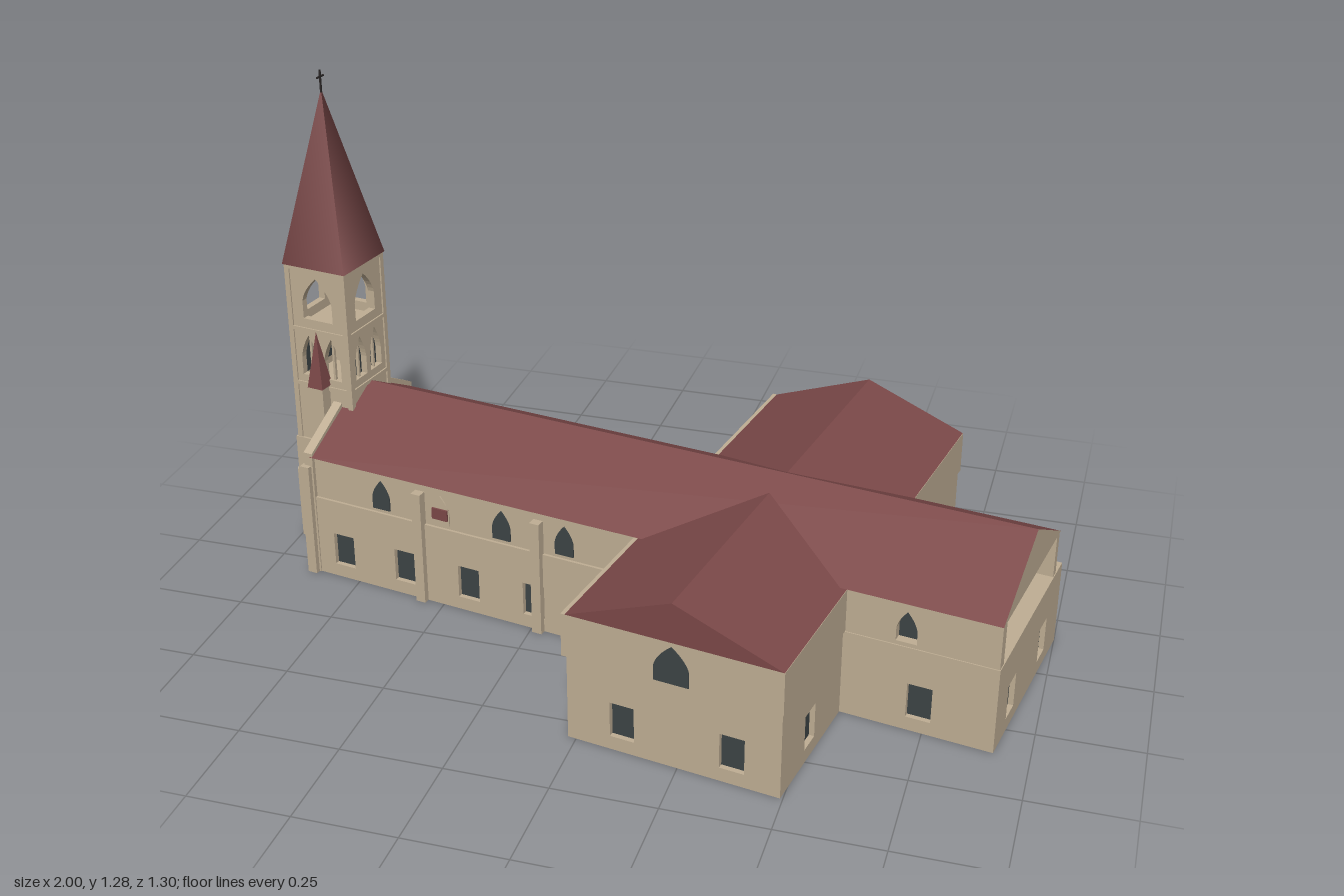
import * as THREE from 'three';

const mat = (name, color) => {
  const m = new THREE.MeshStandardMaterial({ color });
  m.name = name;
  return m;
};

export function createModel() {
  const stone = mat('stone', 0xbfae94);
  const roof = mat('roof tile', 0x7b4848);
  const glass = mat('dark glass', 0x3d4445);
  const iron = mat('iron', 0x2a2626);

  const model = new THREE.Group();
  model.name = 'church';
  const body = new THREE.Group();
  body.name = 'churchBody';
  body.rotation.y = -THREE.MathUtils.degToRad(9.4);
  body.position.z = 0.006;
  model.add(body);

  const add = (name, geo, material, parent = body) => {
    const m = new THREE.Mesh(geo, material);
    m.name = name;
    parent.add(m);
    return m;
  };
  // Box given by its limits on each axis
  const box = (name, x0, x1, y0, y1, z0, z1, material = stone, parent = body) => {
    const m = add(name, new THREE.BoxGeometry(x1 - x0, y1 - y0, z1 - z0), material, parent);
    m.position.set((x0 + x1) / 2, (y0 + y1) / 2, (z0 + z1) / 2);
    return m;
  };
  const polygon = pts => new THREE.Shape(pts.map(p => new THREE.Vector2(...p)));
  const extrude = (shape, depth) => new THREE.ExtrudeGeometry(shape, { depth, bevelEnabled: false, curveSegments: 6 });
  // Pointed arch outline
  const arch = (path, cx, y, w, h) => {
    const s = y + h * 0.42, r = w / 2;
    path.moveTo(cx - r, y);
    path.lineTo(cx + r, y);
    path.lineTo(cx + r, s);
    path.quadraticCurveTo(cx + r * 0.85, s + h * 0.28, cx, y + h);
    path.quadraticCurveTo(cx - r * 0.85, s + h * 0.28, cx - r, s);
    return path;
  };
  const S = 0, E = Math.PI / 2, N = Math.PI, W = -Math.PI / 2;
  const place = (m, x, y, z, dir) => { m.position.set(x, y, z); m.rotation.y = dir; return m; };
  const archWindow = (x, y, z, dir, w = 0.05, h = 0.08, material = glass) =>
    place(add('archWindow', extrude(arch(new THREE.Shape(), 0, 0, w, h), 0.005), material), x, y, z, dir);

  // Wall with recessed windows: outer face at offset, running from a to b
  const wall = (name, dir, offset, a, b, y0, y1, centres, t = 0.018, arched = false) => {
    const g = new THREE.Group();
    g.name = name;
    const alongX = dir === S || dir === N;
    place(g, alongX ? 0 : offset, 0, alongX ? offset : 0, dir);
    body.add(g);
    const sign = dir === S || dir === W ? 1 : -1;
    const shape = polygon([[sign * a, y0], [sign * b, y0], [sign * b, y1], [sign * a, y1]]);
    for (const c of centres) {
      const x = sign * c;
      const pane = arched ? arch(new THREE.Shape(), x, 0.23, 0.05, 0.08)
        : polygon([[x - 0.03, 0.035], [x + 0.03, 0.035], [x + 0.03, 0.125], [x - 0.03, 0.125]]);
      shape.holes.push(new THREE.Path(pane.getPoints(6)));
      add('windowGlass', extrude(pane, 0.004), glass, g).position.z = 0.001 - t;
    }
    add('wallStone', extrude(shape, t), stone, g).position.z = -t;
  };

  // Ground storey: hollow, open below
  const naveX = [-0.77, -0.587, -0.4, -0.215, -0.03], transX = [0.207, 0.475];
  wall('naveSouthWall', S, 0.187, -0.86, 0.08, 0, 0.22, naveX);
  wall('naveNorthWall', N, -0.28, -0.86, 0.08, 0, 0.22, naveX);
  wall('choirSouthBase', S, 0.187, 0.58, 0.96, 0, 0.22, [0.78]);
  wall('choirNorthBase', N, -0.327, 0.58, 0.96, 0, 0.22, [0.72, 0.87]);
  wall('choirEastBase', E, 0.96, -0.327, 0.187, 0, 0.22, [0.067, -0.19]);
  wall('transeptSouthBase', S, 0.547, 0.07, 0.591, 0, 0.22, transX);
  wall('transeptNorthBase', N, -0.664, 0.07, 0.591, 0, 0.22, transX);
  wall('southTranseptEast', E, 0.591, 0.17, 0.547, 0, 0.22, [0.378]);
  wall('southTranseptWest', W, 0.07, 0.17, 0.547, 0, 0.22, [0.378]);
  wall('northTranseptEast', E, 0.591, -0.664, -0.31, 0, 0.22, [-0.49]);
  wall('northTranseptWest', W, 0.07, -0.664, -0.263, 0, 0.22, [-0.49]);

  // Slab above the ground storey
  box('naveSlab', -0.86, 0.1, 0.208, 0.219, -0.278, 0.185);
  box('transeptSlab', 0.072, 0.589, 0.208, 0.219, -0.662, 0.545);
  box('choirSlab', 0.55, 0.958, 0.208, 0.219, -0.325, 0.185);

  // Upper storey
  box('naveUpperWall', -0.86, 0.59, 0.218, 0.336, -0.258, 0.18);
  box('transeptUpperWall', 0.06, 0.595, 0.22, 0.33, -0.672, 0.553);
  wall('choirSouthWall', S, 0.184, 0.59, 0.958, 0.22, 0.336, [0.74], 0.028, true);
  wall('choirNorthWall', N, -0.274, 0.59, 0.958, 0.22, 0.336, [0.78], 0.022, true);
  box('choirCeiling', 0.59, 0.957, 0.329, 0.34, -0.25, 0.154, roof);

  // Lean-to strip under the north clerestory
  const leanTo = add('northLeanToRoof', extrude(polygon([[0.255, 0.22], [0.283, 0.22], [0.255, 0.245]]), 0.92), roof);
  place(leanTo, -0.855, 0, 0, E);

  // Gabled roofs: caps first, slopes second
  const naveRoof = add('naveRoof',
    extrude(polygon([[-0.192, 0.335], [0.276, 0.335], [0.044, 0.46]]), 1.815), [stone, roof]);
  place(naveRoof, -0.855, 0, 0, E);
  add('transeptRoof',
    extrude(polygon([[0.07, 0.33], [0.594, 0.33], [0.331, 0.43]]), 1.224), roof).position.z = -0.671;

  // West front with gable parapet
  const front = add('westFront',
    extrude(polygon([[-0.19, 0], [0.283, 0], [0.283, 0.345], [0.046, 0.475], [-0.19, 0.345]]), 0.025), stone);
  place(front, -0.872, 0, 0, E);
  for (const z of [0.12, -0.21]) archWindow(-0.87, 0.23, z, W, 0.05, 0.09);

  // Buttresses on both sides of the nave
  for (const x of [-0.865, -0.535, -0.2]) {
    box('southButtress', x - 0.013, x + 0.013, 0, 0.31, 0.17, 0.203);
    box('northButtress', x - 0.013, x + 0.013, 0, 0.31, -0.296, -0.25);
  }

  // Clerestory and transept gable windows
  for (const x of [-0.65, -0.476, -0.303, -0.129]) {
    archWindow(x, 0.23, 0.179, S, 0.05, 0.08, x === -0.476 ? stone : glass);
    archWindow(x, 0.245, -0.257, N, 0.05, 0.075);
  }
  box('redWindowPanel', -0.498, -0.454, 0.245, 0.275, 0.18, 0.189, roof);
  archWindow(0.331, 0.225, 0.55, S, 0.085, 0.095);
  archWindow(0.331, 0.225, -0.669, N, 0.085, 0.095);

  // Tower
  const tower = new THREE.Group();
  tower.name = 'tower';
  tower.position.set(-0.901, 0, -0.042);
  body.add(tower);
  box('towerBase', -0.095, 0.088, 0, 0.3, -0.092, 0.092, stone, tower);
  box('towerShaft', -0.086, 0.086, 0.3, 0.46, -0.086, 0.086, stone, tower);

  // Open belfry walls, one per side
  const belfry = polygon([[-0.086, 0.455], [0.086, 0.455], [0.086, 0.79], [-0.086, 0.79]]);
  belfry.holes.push(arch(new THREE.Path(), 0, 0.645, 0.088, 0.115));
  for (const cx of [-0.034, 0.034]) belfry.holes.push(arch(new THREE.Path(), cx, 0.485, 0.05, 0.114));
  for (const dir of [S, E, N, W]) {
    const side = new THREE.Group();
    side.name = 'towerSide';
    side.rotation.y = dir;
    tower.add(side);
    add('belfryWall', extrude(belfry, 0.018), stone, side).position.z = 0.068;
    for (const y of [0.46, 0.615, 0.783])
      box('stringCourse', -0.09, 0.09, y - 0.005, y + 0.005, 0.08, 0.09, stone, side);
    for (const x of [-0.034, 0.034])
      box('lancetMullion', x - 0.003, x + 0.003, 0.485, 0.59, 0.072, 0.08, stone, side);
    for (const x of [-0.083, 0.083])
      box('cornerStrip', x - 0.007, x + 0.007, 0.3, 0.79, 0.077, 0.09, stone, side);
    if (dir === E || dir === W)
      for (const x of [-0.034, 0.034])
        box('lancetGlass', x - 0.026, x + 0.026, 0.48, 0.602, 0.066, 0.069, glass, side);
  }
  box('belfryFloor', -0.076, 0.076, 0.61, 0.62, -0.076, 0.076, stone, tower);

  // Spire and cross
  const spire = add('spire', new THREE.ConeGeometry(0.093 * Math.SQRT2, 0.445, 4), roof, tower);
  spire.geometry.rotateY(Math.PI / 4);
  spire.position.y = 1.0105;
  box('crossPost', -0.002, 0.002, 1.21, 1.28, -0.002, 0.002, iron, tower);
  box('crossArm', -0.002, 0.002, 1.261, 1.265, -0.014, 0.014, iron, tower);

  // Pinnacles on the north and south flanks
  for (const s of [-1, 1]) {
    const z = s * 0.1;
    box('pinnaclePillar', -0.02, 0.02, 0.33, 0.47, z - 0.019, z + 0.019, stone, tower);
    const cap = add('pinnacleCap', new THREE.ConeGeometry(0.032, 0.15, 4).toNonIndexed(), roof, tower);
    cap.geometry.computeVertexNormals();
    cap.geometry.rotateY(Math.PI / 4);
    cap.position.set(0, 0.545, z);
  }

  // West face of the tower: portal, window and upper gable
  const west = new THREE.Group();
  west.name = 'towerWestFace';
  west.rotation.y = W;
  tower.add(west);
  const gableShape = polygon([[-0.078, 0.785], [0.078, 0.785], [0, 0.91]]);
  gableShape.holes.push(new THREE.Path().absarc(0, 0.83, 0.018, 0, Math.PI * 2, true));
  add('upperGable', extrude(gableShape, 0.012), stone, west).position.z = 0.082;
  add('portalGable', extrude(polygon([[-0.09, 0], [0.09, 0], [0.09, 0.2], [0, 0.295], [-0.09, 0.2]]), 0.012), stone, west).position.z = 0.089;
  add('portalDoor', extrude(arch(new THREE.Shape(), 0, 0.002, 0.1, 0.19), 0.004), glass, west).position.z = 0.099;
  for (const x of [-0.034, 0.034])
    add('westLancet', extrude(arch(new THREE.Shape(), x, 0.325, 0.04, 0.1), 0.004), glass, west).position.z = 0.084;

  return model;
}
